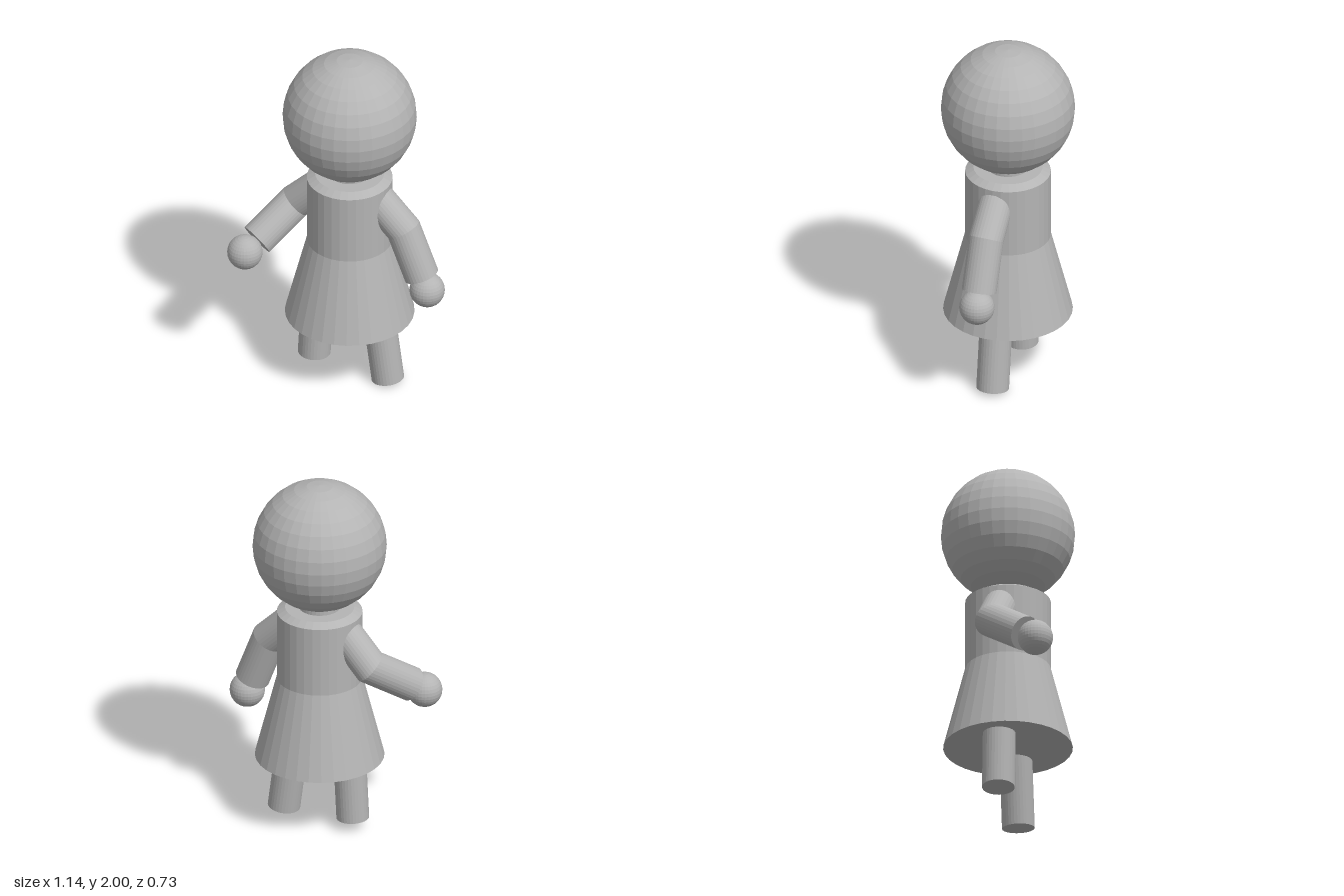
import * as THREE from 'three';

const CX = 0.012, CZ = -0.006; // body axis
const V = (x, y, z = CZ) => new THREE.Vector3(x, y, z);

// Round limb along a path, mitred at each bend and capped at both ends
function limbGeometry(path, radius, sides = 32) {
  const dirs = path.slice(1).map((p, i) => p.clone().sub(path[i]).normalize());
  const u = new THREE.Vector3(0, 0, 1).cross(dirs[0]).normalize();
  const w = dirs[0].clone().cross(u);
  let ring = [];
  for (let i = 0; i < sides; i++) {
    const a = (i / sides) * Math.PI * 2;
    ring.push(path[0].clone().addScaledVector(u, radius * Math.cos(a)).addScaledVector(w, radius * Math.sin(a)));
  }
  const rings = [ring];
  dirs.forEach((d, s) => {
    // slide the ring along the segment onto the plane of the next joint
    const n = d.clone().add(dirs[s + 1] ?? d).normalize();
    ring = ring.map((p) => p.clone().addScaledVector(d, path[s + 1].clone().sub(p).dot(n) / d.dot(n)));
    rings.push(ring);
  });
  const pos = [];
  const tri = (...pts) => pts.forEach((p) => pos.push(p.x, p.y, p.z));
  const last = rings.length - 1;
  for (let i = 0; i < sides; i++) {
    const j = (i + 1) % sides;
    for (let k = 0; k < last; k++) {
      const a = rings[k], b = rings[k + 1];
      tri(a[i], a[j], b[j]);
      tri(a[i], b[j], b[i]);
    }
    tri(path[0], rings[0][j], rings[0][i]);
    tri(path[last], rings[last][i], rings[last][j]);
  }
  const geo = new THREE.BufferGeometry();
  geo.setAttribute('position', new THREE.Float32BufferAttribute(pos, 3));
  geo.computeVertexNormals();
  return geo;
}

export function createModel() {
  const model = new THREE.Group();
  model.name = 'figure';
  const grey = new THREE.MeshStandardMaterial({ color: 0xb4b4b4 });
  grey.name = 'plain grey';
  grey.flatShading = true;

  const add = (name, geo, at) => {
    const mesh = new THREE.Mesh(geo, grey);
    mesh.name = name;
    if (at) mesh.position.copy(at);
    model.add(mesh);
  };
  const ball = (r) => new THREE.SphereGeometry(r, 32, 16);

  // Head and neck
  add('head', ball(0.36), V(CX, 1.64));
  add('neck', new THREE.CylinderGeometry(0.111, 0.111, 0.2, 32), V(CX, 1.3));

  // Dress: closed hem, flared skirt, straight bodice, bevelled shoulders
  const profile = [[0, 0.385], [0.348, 0.385], [0.23, 0.85], [0.23, 1.245], [0.186, 1.27], [0, 1.27]];
  add('dress', new THREE.LatheGeometry(profile.map(([x, y]) => new THREE.Vector2(x, y)), 32), V(CX, 0));

  // Arms: the left hangs to the side, the right reaches forward
  const arms = [
    ['left', 1, V(0.37, -0.93, 0)],
    ['right', -1, V(-0.456, -0.557, 0.736)],
  ];
  for (const [side, s, dir] of arms) {
    const shoulder = V(CX + s * 0.138, 1.175);
    const elbow = V(CX + s * 0.32, 0.995);
    const wrist = elbow.clone().addScaledVector(dir, 0.285);
    add(side + 'Arm', limbGeometry([shoulder, elbow, wrist], 0.094), null);
    add(side + 'Hand', ball(0.095), elbow.clone().addScaledVector(dir, 0.375));
  }

  // Legs, slightly splayed, rising into the skirt
  add('leftLeg', limbGeometry([V(0.171, 0.5), V(0.238, 0.013)], 0.088));
  add('rightLeg', limbGeometry([V(-0.174, 0.5), V(-0.198, 0.06)], 0.088));

  return model;
}
